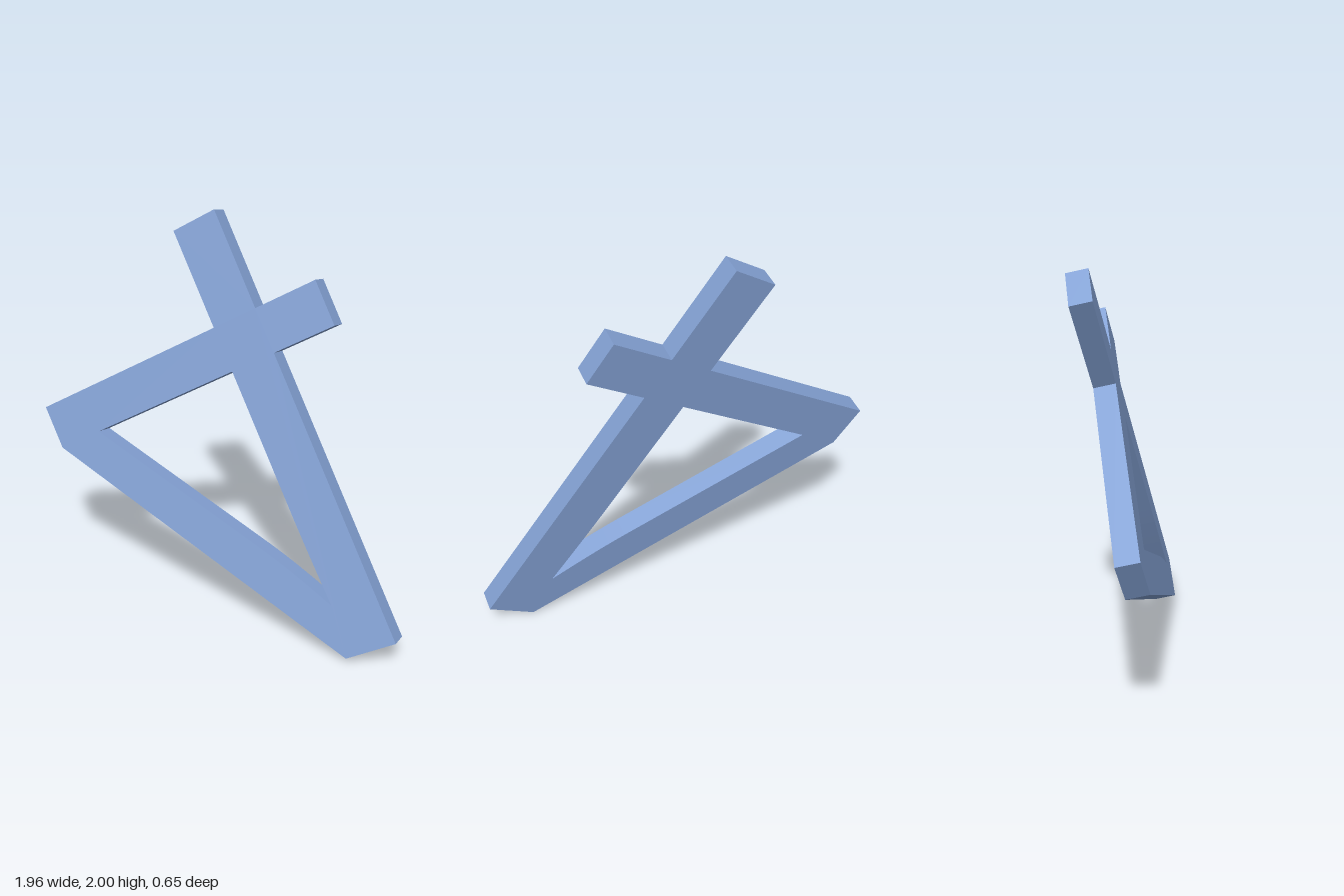
import * as THREE from 'three';

const THICKNESS = 0.108;
const TILT = 0.2507; // lean backwards
const ROLL = Math.PI / 6; // turn within the front plane

export function createModel() {
  const group = new THREE.Group();
  group.name = 'crossedFrame';

  // Outline: upright bar, cross bar and diagonal brace as one flat plate
  const shape = new THREE.Shape([
    [0.914, 1.84], [0.678, 1.84], [0.678, 1.338], [-0.384, 1.338],
    [-0.384, 1.111], [0.651, -0.358], [0.917, -0.358], [0.914, 1.111],
    [1.24, 1.111], [1.24, 1.338], [0.914, 1.338],
  ].map(([x, y]) => new THREE.Vector2(x, y)));

  // Triangular opening, with softly flared sides near its lower tip
  const opening = new THREE.Path();
  opening.moveTo(0.679, 1.111);
  opening.lineTo(-0.142, 1.111);
  opening.lineTo(0.46, 0.268);
  opening.quadraticCurveTo(0.557, 0.131, 0.688, -0.098);
  opening.quadraticCurveTo(0.679, 0.2, 0.679, 0.4);
  opening.closePath();
  shape.holes.push(opening);

  const geometry = new THREE.ExtrudeGeometry(shape, {
    depth: THICKNESS, bevelEnabled: false, curveSegments: 8,
  });
  geometry.translate(0, 0, -THICKNESS);

  const plate = new THREE.Mesh(
    geometry,
    new THREE.MeshStandardMaterial({ color: 0x85a3d6 }),
  );
  plate.name = 'framePlate';
  // Lean back first, then roll about the front axis
  plate.rotation.set(-TILT, 0, ROLL, 'ZYX');
  plate.position.z = 0.236;
  group.add(plate);

  // Stand on the ground, centred
  const box = new THREE.Box3().setFromObject(group, true);
  const centre = box.getCenter(new THREE.Vector3());
  plate.position.sub(new THREE.Vector3(centre.x, box.min.y, centre.z));
  return group;
}
